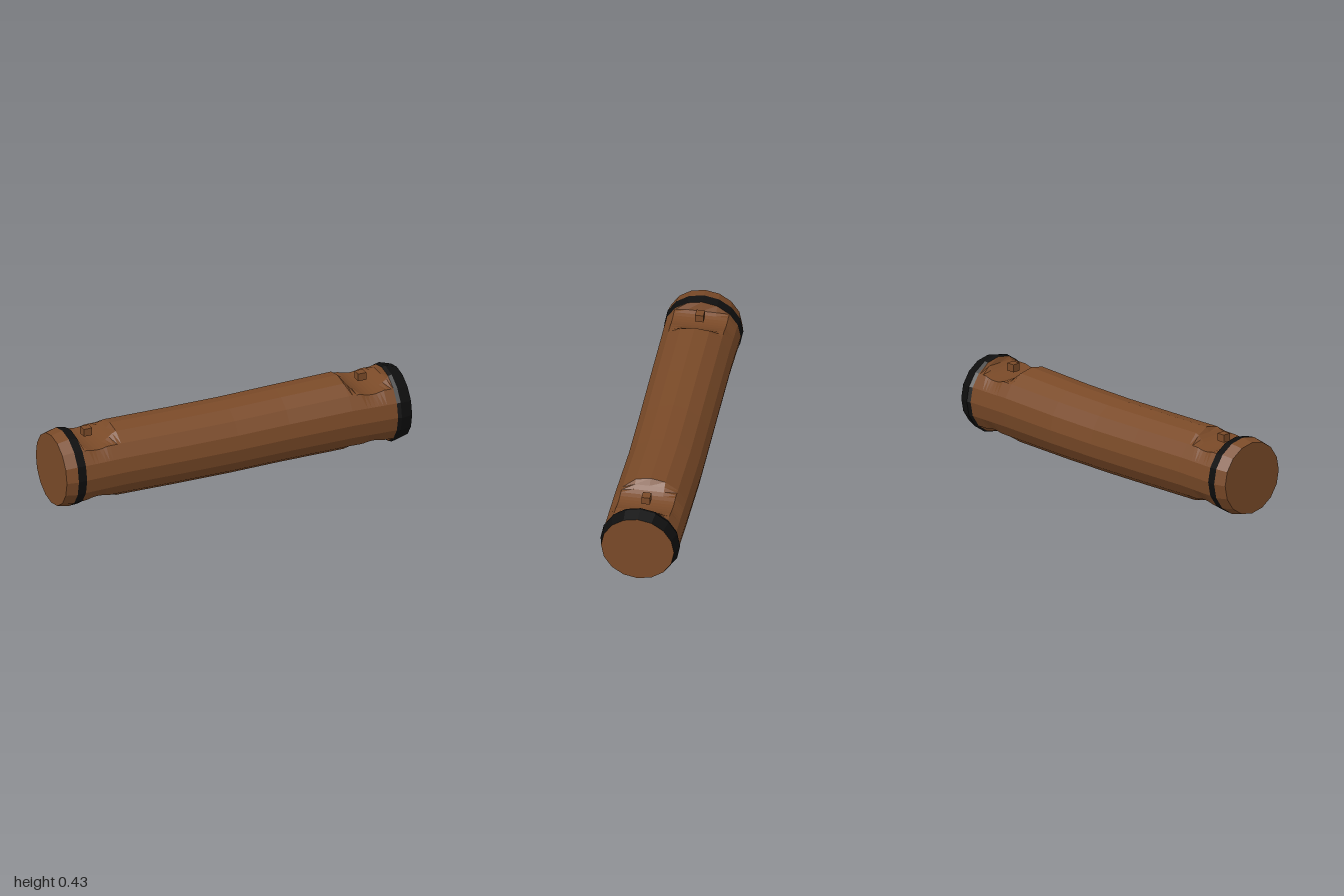
import * as THREE from 'three';

const SIDES = 16;
const wood = new THREE.MeshStandardMaterial({ color: 0x7a4a28 });
wood.name = 'wood brown';
const black = new THREE.MeshStandardMaterial({ color: 0x0e0e0e });
black.name = 'band black';

// Log stations: x, centre y, centre z, radius
const STATIONS = [
  [-1, 0.215, 0, 0.197], [-0.935, 0.215, -0.004, 0.211], [-0.885, 0.213, -0.004, 0.206],
  [-0.66, 0.215, -0.004, 0.203], [-0.3, 0.21, -0.006, 0.203], [0, 0.208, -0.009, 0.203],
  [0.3, 0.212, -0.012, 0.204], [0.66, 0.219, -0.006, 0.207], [0.915, 0.215, 0, 0.206],
  [0.935, 0.214, -0.001, 0.213], [1, 0.214, 0.003, 0.195],
];
const NOTCH_X = 0.795, NOTCH_R = 0.17, NOTCH_HALF = 0.135;

// Interpolated centre and radius at any x
function sample(x) {
  let i = 0;
  while (i < STATIONS.length - 2 && x > STATIONS[i + 1][0]) i++;
  const a = STATIONS[i], b = STATIONS[i + 1], t = (x - a[0]) / (b[0] - a[0]);
  return a.map((v, k) => v + (b[k] - v) * t);
}

// One polygonal section; round saddles trim it above and below
function ring(x) {
  const [, cy, cz, r] = sample(x);
  const d = Math.abs(x) - NOTCH_X;
  const notched = Math.abs(d) < NOTCH_HALF && x > -0.88 && x < 0.91;
  const limit = notched ? 0.135 + NOTCH_R - Math.sqrt(NOTCH_R ** 2 - d * d) : 1;
  return Array.from({ length: SIDES }, (_, j) => {
    const a = (j / SIDES) * Math.PI * 2;
    const y = cy + r * Math.cos(a);
    return [x, THREE.MathUtils.clamp(y, 0.215 - limit, 0.215 + limit), cz + r * Math.sin(a)];
  });
}

// Flat-faced skin through the sections at the given x values
function skin(name, xs, material) {
  const rings = xs.map(ring), pos = [];
  for (let i = 0; i < rings.length - 1; i++) {
    for (let j = 0; j < SIDES; j++) {
      const k = (j + 1) % SIDES, p = rings[i], q = rings[i + 1];
      pos.push(...p[j], ...p[k], ...q[k], ...p[j], ...q[k], ...q[j]);
    }
  }
  return flatMesh(name, pos, material);
}

// Sawn end face
function endFace(name, x) {
  const [, cy, cz] = sample(x), r = ring(x), pos = [];
  for (let j = 0; j < SIDES; j++) {
    const a = r[j], b = r[(j + 1) % SIDES];
    pos.push(x, cy, cz, ...(x > 0 ? [...a, ...b] : [...b, ...a]));
  }
  return flatMesh(name, pos, wood);
}

function flatMesh(name, pos, material) {
  const g = new THREE.BufferGeometry();
  g.setAttribute('position', new THREE.Float32BufferAttribute(pos, 3));
  g.computeVertexNormals();
  const mesh = new THREE.Mesh(g, material);
  mesh.name = name;
  return mesh;
}

export function createModel() {
  const group = new THREE.Group();
  group.name = 'notchedLog';

  // Trunk sections, closely spaced across each saddle
  const xs = [-0.885];
  for (let i = 0; i <= 10; i++) xs.push(-0.872 + 0.0212 * i);
  xs.push(-0.3, 0, 0.3);
  for (let i = 0; i <= 11; i++) xs.push(0.66 + 0.0222 * i);
  xs.push(0.915);

  group.add(
    skin('trunk', xs, wood),
    skin('rightEndCollar', [-1, -0.935], wood),
    skin('rightBand', [-0.935, -0.885], black),
    skin('leftBand', [0.915, 0.935, 1], black),
    endFace('rightEndFace', -1),
    endFace('leftEndFace', 1),
  );

  // Small square pegs over the saddles
  for (const s of [-1, 1]) {
    const peg = new THREE.Mesh(new THREE.BoxGeometry(0.048, 0.042, 0.045), wood);
    peg.name = s > 0 ? 'leftPeg' : 'rightPeg';
    peg.position.set(s * NOTCH_X, 0.396, -0.008);
    group.add(peg);
  }
  return group;
}
